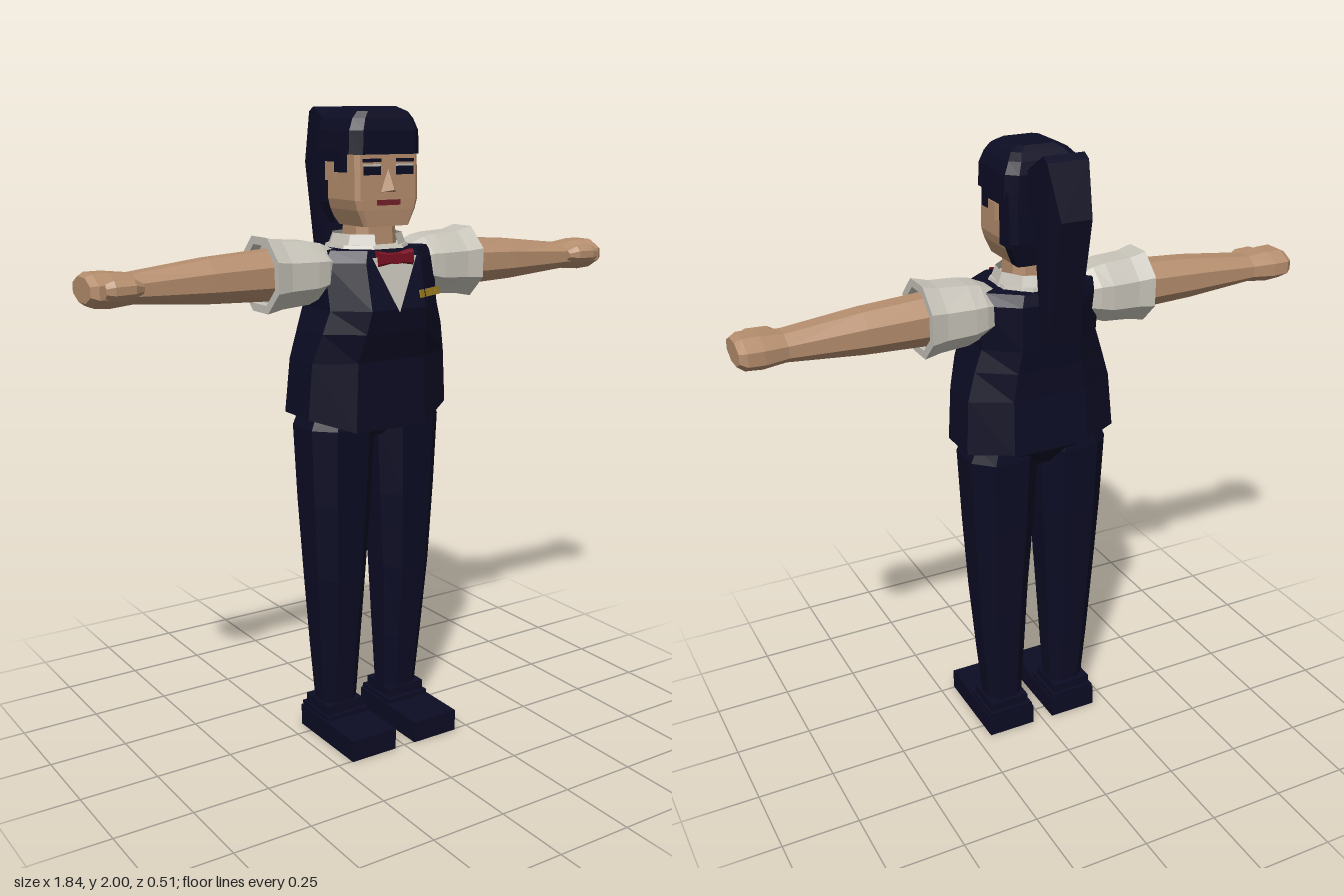
import * as THREE from 'three';

const mat = (name, color, side = THREE.FrontSide) => {
  const m = new THREE.MeshStandardMaterial({ color, flatShading: true, side });
  m.name = name;
  return m;
};

// Stacked eight-sided sections [y, xMin, xMax, zMin, zMax]; k is the flat share of each side
function loft(sections, k = 0.41, adjust = null) {
  const rings = sections.map(([y, x0, x1, z0, z1]) => {
    const cx = (x0 + x1) / 2, cz = (z0 + z1) / 2, rx = (x1 - x0) / 2, rz = (z1 - z0) / 2;
    return [[1, -k], [1, k], [k, 1], [-k, 1], [-1, k], [-1, -k], [-k, -1], [k, -1]].map(([a, b]) => {
      const p = new THREE.Vector3(cx + a * rx, y, cz + b * rz);
      if (adjust) adjust(p);
      return p;
    });
  });
  const pts = [];
  for (let j = 0; j < rings.length - 1; j++) {
    for (let i = 0; i < 8; i++) {
      const n = (i + 1) % 8;
      const a = rings[j][i], b = rings[j][n], c = rings[j + 1][n], d = rings[j + 1][i];
      pts.push(a, d, c, a, c, b);
    }
  }
  const low = rings[0], top = rings[rings.length - 1];
  for (let i = 1; i < 7; i++) pts.push(low[0], low[i], low[i + 1], top[0], top[i + 1], top[i]);
  const g = new THREE.BufferGeometry().setFromPoints(pts);
  g.computeVertexNormals();
  return g;
}

// The same along x: [x, yMin, yMax, zMin, zMax]
const loftX = (sections, k) =>
  loft(sections.map(([x, y0, y1, z0, z1]) => [x, -y1, -y0, z0, z1]), k).rotateZ(-Math.PI / 2);

const box = (x0, x1, y0, y1, z0, z1) =>
  new THREE.BoxGeometry(x1 - x0, y1 - y0, z1 - z0).translate((x0 + x1) / 2, (y0 + y1) / 2, (z0 + z1) / 2);

// Mirrored copy across x with the corner order restored
function mirrorX(geometry) {
  const g = geometry.index ? geometry.toNonIndexed() : geometry.clone();
  const p = g.attributes.position;
  const a = new THREE.Vector3(), b = new THREE.Vector3();
  for (let i = 0; i < p.count; i++) p.setX(i, -p.getX(i));
  for (let i = 0; i < p.count; i += 3) {
    a.fromBufferAttribute(p, i + 1);
    b.fromBufferAttribute(p, i + 2);
    p.setXYZ(i + 1, b.x, b.y, b.z);
    p.setXYZ(i + 2, a.x, a.y, a.z);
  }
  g.computeVertexNormals();
  return g;
}

export function createModel() {
  const navy = mat('navy cloth and hair', 0x0c0c24);
  const skin = mat('skin', 0xb48d6d);
  const white = mat('white shirt', 0xc6c2b8, THREE.DoubleSide);
  const red = mat('red bow tie', 0x7c1022);
  const lip = mat('lips', 0x74202a);
  const gold = mat('gold badge', 0x9c7c20);

  const model = new THREE.Group();
  model.name = 'figure';
  const add = (name, geometry, material) => {
    const m = new THREE.Mesh(geometry, material);
    m.name = name;
    model.add(m);
  };
  const pair = (name, geometry, material) => {
    add('left ' + name, geometry, material);
    add('right ' + name, mirrorX(geometry), material);
  };

  // Legs, pelvis and shoes
  pair('leg', loft([
    [0.09, 0.057, 0.178, -0.03, 0.075],
    [0.3, 0.047, 0.195, -0.045, 0.095],
    [0.55, 0.035, 0.212, -0.062, 0.12],
    [0.8, 0.018, 0.226, -0.078, 0.132],
    [1.04, 0.006, 0.236, -0.088, 0.14],
    [1.09, 0.012, 0.215, -0.08, 0.13],
  ], 0.5), navy);
  add('pelvis', loft([[1.0, -0.06, 0.06, -0.05, 0.09], [1.06, -0.2, 0.2, -0.09, 0.14], [1.12, -0.21, 0.21, -0.09, 0.14]], 0.5), navy);
  pair('shoe', box(0.037, 0.2, 0, 0.07, -0.06, 0.255), navy);
  pair('shoe heel', box(0.042, 0.195, 0.065, 0.085, -0.058, 0.1), navy);
  pair('shoe ankle', box(0.052, 0.188, 0.08, 0.115, -0.045, 0.085), navy);

  // Vest, with the front of the hem dipping
  add('vest', loft([
    [1.08, -0.255, 0.255, -0.115, 0.167],
    [1.25, -0.243, 0.243, -0.1, 0.167],
    [1.34, -0.218, 0.218, -0.105, 0.195],
    [1.41, -0.195, 0.195, -0.112, 0.207],
    [1.55, -0.198, 0.198, -0.116, 0.175],
    [1.585, -0.175, 0.175, -0.105, 0.165],
  ], 0.5, (p) => { if (p.y < 1.1 && p.z > 0.15) p.y = 1.035; }), navy);

  // Shirt: front triangle, yoke, collar
  const front = new THREE.BufferGeometry().setFromPoints([
    new THREE.Vector3(0, 1.4, 0.209),
    new THREE.Vector3(0.08, 1.565, 0.178),
    new THREE.Vector3(-0.08, 1.565, 0.178),
  ]);
  front.computeVertexNormals();
  add('shirt front', front, white);
  add('shirt yoke', loft([[1.55, -0.13, 0.13, -0.1, 0.168], [1.595, -0.115, 0.115, -0.09, 0.14]], 0.45), white);
  add('collar', new THREE.CylinderGeometry(0.108, 0.125, 0.045, 8, 1, true, 0.35, Math.PI * 2 - 0.7)
    .translate(0, 1.605, 0.025), white);

  // Bow tie
  pair('bow tie wing', loftX([[0.0, 1.548, 1.572, 0.165, 0.192], [0.062, 1.538, 1.585, 0.16, 0.19]], 0.7), red);
  add('bow tie knot', box(-0.014, 0.014, 1.545, 1.576, 0.16, 0.198), red);

  // Badge of small plain bars
  for (let i = 0; i < 4; i++) {
    add('badge bar', box(-0.01, 0.01, -0.012, 0.012, -0.003, 0.003)
      .rotateX(-0.22).rotateY(0.4).translate(0.088 + i * 0.027, 1.45, 0.199 - i * 0.012), gold);
  }

  // Sleeves with an open cuff, arms, hands and thumbs
  pair('sleeve', loftX([
    [0.13, 1.46, 1.58, -0.05, 0.1],
    [0.19, 1.44, 1.605, -0.075, 0.12],
    [0.23, 1.425, 1.612, -0.08, 0.125],
    [0.32, 1.418, 1.617, -0.08, 0.125],
    [0.372, 1.408, 1.63, -0.09, 0.135],
    [0.372, 1.432, 1.606, -0.066, 0.111],
    [0.34, 1.432, 1.606, -0.066, 0.111],
  ]), white);
  pair('arm', loftX([
    [0.33, 1.442, 1.592, -0.053, 0.093],
    [0.55, 1.45, 1.578, -0.05, 0.09],
    [0.78, 1.468, 1.552, -0.043, 0.083],
    [0.85, 1.462, 1.56, -0.058, 0.095],
    [0.9, 1.466, 1.56, -0.06, 0.1],
    [0.92, 1.48, 1.55, -0.045, 0.085],
  ]), skin);
  pair('thumb', loftX([
    [0.77, 1.5, 1.53, 0.06, 0.1],
    [0.8, 1.49, 1.545, 0.06, 0.117],
    [0.86, 1.488, 1.545, 0.07, 0.12],
    [0.885, 1.497, 1.535, 0.075, 0.112],
  ]), skin);

  // Neck, head and ears
  add('neck', loft([[1.58, -0.075, 0.075, -0.025, 0.105], [1.67, -0.07, 0.07, -0.02, 0.1]], 0.6), skin);
  add('head', loft([
    [1.652, -0.08, 0.08, -0.01, 0.142],
    [1.7, -0.103, 0.103, -0.04, 0.145],
    [1.73, -0.112, 0.112, -0.05, 0.145],
    [1.9, -0.112, 0.112, -0.05, 0.14],
  ], 0.88), skin);
  pair('ear', box(0.1, 0.131, 1.785, 1.84, 0.0, 0.043), skin);

  // Face
  const nose = new THREE.BufferGeometry();
  nose.setAttribute('position', new THREE.Float32BufferAttribute(
    [0, 1.82, 0.143, -0.028, 1.752, 0.143, 0.028, 1.752, 0.143, 0, 1.76, 0.177], 3));
  nose.setIndex([0, 1, 3, 0, 3, 2, 1, 2, 3]);
  add('nose', nose.toNonIndexed(), skin);
  nose.computeVertexNormals();
  pair('eyebrow', box(0.028, 0.09, 1.84, 1.85, 0.138, 0.147), navy);
  pair('eye white', box(0.028, 0.088, 1.828, 1.834, 0.138, 0.146), white);
  pair('eye', box(0.028, 0.088, 1.803, 1.828, 0.138, 0.147), navy);
  add('lips', box(-0.042, 0.042, 1.714, 1.73, 0.139, 0.148), lip);

  // Hair: stepped cap, sides, back and ponytail
  add('hair cap', loft([
    [1.862, -0.125, 0.125, -0.08, 0.15],
    [1.93, -0.123, 0.123, -0.085, 0.15],
    [1.965, -0.108, 0.108, -0.075, 0.142],
    [1.985, -0.09, 0.09, -0.05, 0.135],
    [2.0, -0.06, 0.06, -0.03, 0.11],
  ], 0.75), navy);
  pair('sideburn', box(0.1, 0.127, 1.81, 1.88, 0.043, 0.092), navy);
  pair('hair over ear', box(0.1, 0.127, 1.84, 1.88, -0.03, 0.05), navy);
  pair('hair behind ear', box(0.09, 0.123, 1.72, 1.88, -0.07, -0.015), navy);
  add('back hair', loft([
    [1.655, -0.085, 0.085, -0.06, -0.01],
    [1.73, -0.115, 0.115, -0.078, -0.01],
    [1.88, -0.122, 0.122, -0.08, -0.01],
  ], 0.8), navy);

  // Ponytail side outline, as (-z, y), extruded across x
  const outline = [[0.06, 1.93], [0.175, 2.0], [0.2, 1.985], [0.255, 1.83], [0.18, 1.44], [0.135, 1.44], [0.12, 1.8], [0.06, 1.85]];
  const tail = new THREE.ExtrudeGeometry(new THREE.Shape(outline.map(([a, b]) => new THREE.Vector2(a, b))),
    { depth: 0.13, bevelEnabled: false }).translate(0, 0, -0.065).rotateY(Math.PI / 2);
  const tp = tail.attributes.position;
  for (let i = 0; i < tp.count; i++) {
    if (tp.getY(i) < 1.5 || tp.getZ(i) < -0.24) tp.setX(i, tp.getX(i) * 0.75);
  }
  tail.computeVertexNormals();
  add('ponytail', tail, navy);

  return model;
}
